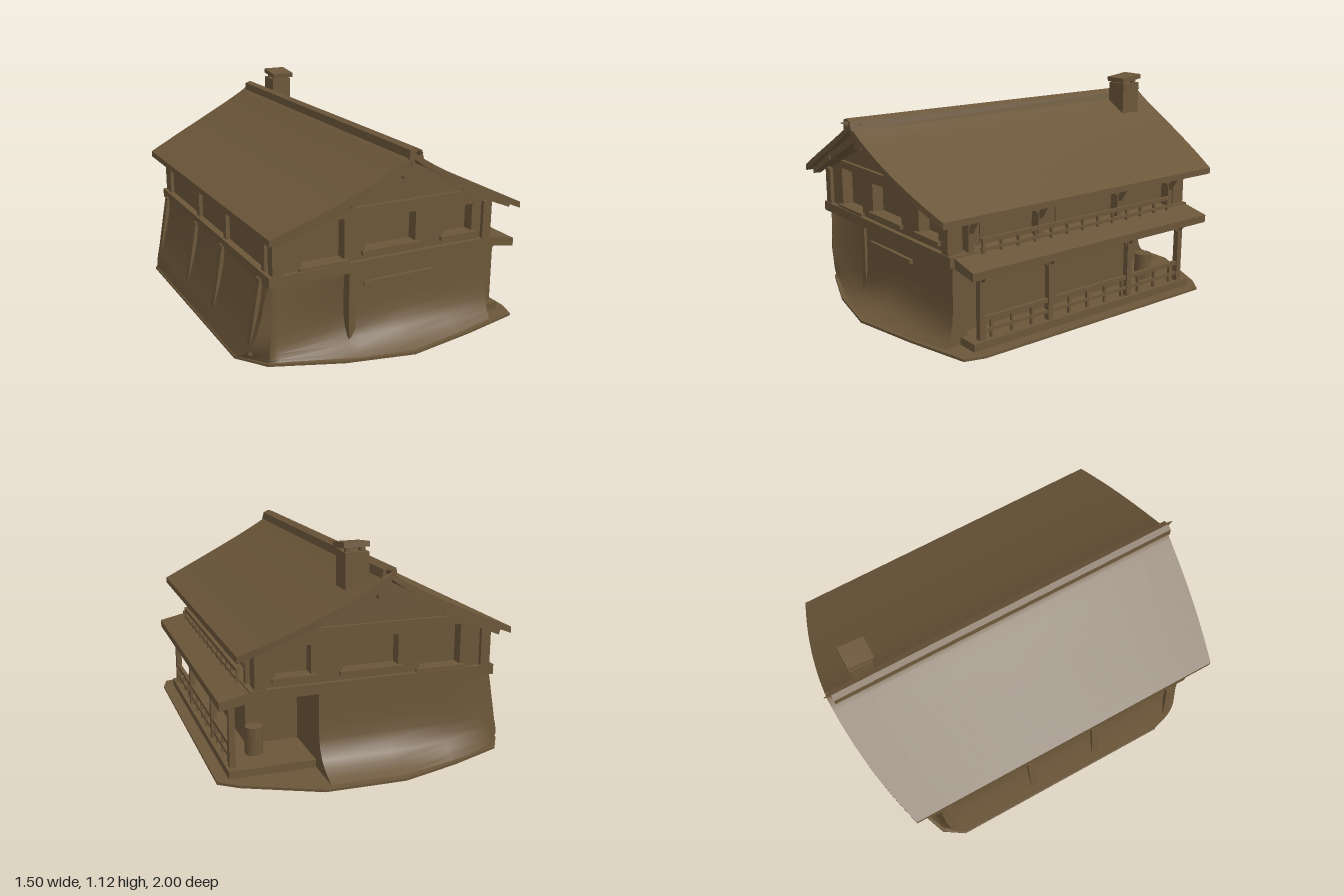
import * as THREE from 'three';
import { toCreasedNormals } from 'three/addons/utils/BufferGeometryUtils.js';

export function createModel() {
  const house = new THREE.Group();
  house.name = 'house';
  const wood = new THREE.MeshStandardMaterial({ color: 0x6b5639 });
  wood.name = 'brown wood';

  const add = (name, geometry) => {
    const mesh = new THREE.Mesh(geometry, wood);
    mesh.name = name;
    house.add(mesh);
    return mesh;
  };
  // box given by its min and max corners
  const box = (name, x0, x1, y0, y1, z0, z1) => {
    const m = add(name, new THREE.BoxGeometry(x1 - x0, y1 - y0, z1 - z0));
    m.position.set((x0 + x1) / 2, (y0 + y1) / 2, (z0 + z1) / 2);
    return m;
  };
  // square beam between two points
  const beam = (name, a, b, w) => {
    const p = new THREE.Vector3(...a), q = new THREE.Vector3(...b);
    const m = add(name, new THREE.BoxGeometry(w, w, p.distanceTo(q)));
    m.position.copy(p).add(q).multiplyScalar(0.5);
    m.lookAt(q);
    return m;
  };
  const shapeOf = (pts) => new THREE.Shape(pts.map((p) => new THREE.Vector2(...p)));
  const extrude = (shape, depth) => new THREE.ExtrudeGeometry(shape, { depth, bevelEnabled: false });

  // ground plate with bowed ends
  const outline = [[-0.75, 0.6], [-0.64, 0.75], [-0.3, 0.88], [0.04, 0.95], [0.4, 0.88], [0.72, 0.8], [0.75, 0.7],
    [0.75, -0.73], [0.66, -0.8], [0.3, -0.97], [-0.1, -0.98], [-0.4, -0.89], [-0.68, -0.78], [-0.75, -0.67]];
  const ground = extrude(shapeOf(outline.map(([x, z]) => [x, -z])), 0.012);
  ground.rotateX(-Math.PI / 2);
  add('groundPlate', ground);

  // lower storey: rings flaring to the ground, with a recessed front bay and porch wall,
  // and an open notch at the rear porch corner
  const foot = [[-0.745, 0.6], [-0.635, 0.74], [-0.58, 0.76], [-0.24, 0.88], [-0.2, 0.89], [0.04, 0.935], [0.35, 0.87], [0.58, 0.81],
    [0.58, 0.68], [0.53, 0.68], [0.53, -0.42], [0.26, -0.42], [0.26, -0.94], [-0.1, -0.95], [-0.4, -0.87], [-0.66, -0.77], [-0.745, -0.66]];
  const top = [[-0.64, 0.74], [-0.62, 0.76], [-0.58, 0.72], [-0.24, 0.72], [-0.2, 0.77], [0.04, 0.76], [0.35, 0.76], [0.58, 0.76],
    [0.58, 0.68], [0.53, 0.68], [0.53, -0.42], [0.26, -0.42], [0.26, -0.76], [-0.1, -0.76], [-0.4, -0.76], [-0.62, -0.76], [-0.64, -0.74]];
  const levels = [0.01, 0.025, 0.05, 0.08, 0.12, 0.17, 0.24, 0.33, 0.42];
  const n = foot.length, pos = [], idx = [];
  levels.forEach((y, j) => {
    const t = 1 - (y - 0.01) / 0.41;
    for (let i = 0; i < n; i++) {
      pos.push(THREE.MathUtils.lerp(top[i][0], foot[i][0], t ** 1.6), y, THREE.MathUtils.lerp(top[i][1], foot[i][1], t ** 7));
      if (j === 0) continue;
      const k = (i + 1) % n, a = (j - 1) * n + i, b = (j - 1) * n + k, c = j * n + k, d = j * n + i;
      idx.push(a, b, c, a, c, d);
    }
  });
  const lower = new THREE.BufferGeometry();
  lower.setAttribute('position', new THREE.Float32BufferAttribute(pos, 3));
  lower.setIndex(idx);
  add('lowerWalls', toCreasedNormals(lower, 0.9));

  // upper storey: solid core set back behind the balcony, and a pierced gable wall at each end
  const gableTo = (x) => [[-0.61, 0.42], [x, 0.42], [x, 0.66], [0.3, 0.79], [0, 0.95], [-0.3, 0.79], [-0.61, 0.65]];
  const core = extrude(shapeOf(gableTo(0.54)), 1.4);
  core.translate(0, 0, -0.7);
  add('upperCore', core);
  const windows = [[-0.47, -0.25, 0.47, 0.67], [-0.14, 0.14, 0.5, 0.65], [0.3, 0.47, 0.5, 0.64]];
  for (const s of [1, -1]) {
    const wall = shapeOf(gableTo(0.575));
    for (const [x0, x1, y0, y1] of windows) {
      wall.holes.push(new THREE.Path([[x0, y0], [x0, y1], [x1, y1], [x1, y0]].map((p) => new THREE.Vector2(...p))));
      box('windowSill', x0 - 0.02, x1 + 0.02, y0 - 0.02, y0, s * 0.765 - 0.015, s * 0.765 + 0.015);
    }
    const g = extrude(wall, 0.06);
    g.translate(0, 0, s > 0 ? 0.7 : -0.76);
    add('gableWall', g);
    box('gableBeam', -0.44, 0.42, 0.685, 0.72, s * 0.76 - 0.02, s * 0.76 + 0.02);
    box('kingPost', -0.03, 0.03, 0.87, 0.98, s * 0.83 - 0.08, s * 0.83 + 0.08);
    for (const x of [-0.6, 0.55]) box('upperCornerPost', x - 0.025, x + 0.025, 0.42, 0.65, s * 0.755 - 0.025, s * 0.755 + 0.025);
    // curved bargeboards under the roof edge
    for (const m of [1, -1]) {
      beam('bargeboard', [0, 0.93, s * 0.9], [m * 0.3, 0.785, s * 0.89], 0.04);
      beam('bargeboard', [m * 0.3, 0.785, s * 0.89], [m * 0.63, 0.645, s * 0.83], 0.04);
    }
  }
  // front framing of the ground floor
  box('lowerPost', -0.235, -0.2, 0.06, 0.42, 0.73, 0.785);
  box('doorLintel', -0.15, 0.24, 0.325, 0.345, 0.75, 0.78);

  // floor band between the storeys
  box('floorBand', -0.645, 0.6, 0.405, 0.455, -0.785, 0.785);

  // left-hand framing on the closed long side
  for (const z of [-0.7, -0.2, 0.2, 0.68]) {
    beam('wallPost', [-0.7, 0.05, z], [-0.635, 0.42, z], 0.04);
    box('upperPost', -0.63, -0.59, 0.44, 0.65, z - 0.02, z + 0.02);
  }
  box('wallPlate', -0.63, -0.58, 0.61, 0.645, -0.76, 0.76);

  // roof: one slab bent over the ridge, shorter at the eaves
  const roof = new THREE.BoxGeometry(2, 1, 2, 24, 1, 10);
  const p = roof.attributes.position;
  for (let i = 0; i < p.count; i++) {
    const x = p.getX(i), u = Math.abs(x), z = p.getZ(i);
    const y = 1.0 - 0.34 * u ** 0.86 + (p.getY(i) < 0 ? -0.032 : 0) - x * 0.008;
    p.setXYZ(i, x * 0.678, y, z * ((z > 0 ? 0.95 : 0.985) - (z > 0 ? 0.08 : 0.11) * u * u));
  }
  roof.computeVertexNormals();
  add('roof', roof);

  // ridge cap with pointed, overhanging ends
  const cap = extrude(shapeOf([[-0.035, 0.97], [0.04, 0.97], [0.03, 1.01], [0, 1.025], [-0.03, 1.015]]), 1.92);
  cap.translate(0, 0, -0.96);
  add('ridgeCap', cap);
  for (const s of [1, -1]) {
    const tip = add('ridgeTip', new THREE.ConeGeometry(0.03, 0.1, 4));
    tip.rotation.x = s * 1.4;
    tip.position.set(0.01, 1.0, s * 0.951);
  }

  // chimney with a tilted cap
  box('chimney', 0.045, 0.16, 0.85, 1.07, -0.83, -0.71);
  const chimneyCap = box('chimneyCap', 0.045, 0.17, 1.085, 1.11, -0.835, -0.695);
  chimneyCap.rotation.x = 0.12;
  for (const x of [0.07, 0.14]) for (const z of [-0.8, -0.73]) box('capLeg', x - 0.012, x + 0.012, 1.06, 1.1, z - 0.012, z + 0.012);

  // porch on the open long side, running round into the rear notch
  box('porchFloor', 0.52, 0.69, 0.005, 0.05, -0.72, 0.72);
  box('rearPorchFloor', 0.25, 0.53, 0.005, 0.05, -0.72, -0.41);
  const awning = extrude(shapeOf([[0.52, 0.41], [0.74, 0.375], [0.742, 0.415], [0.52, 0.465]]), 1.54);
  awning.translate(0, 0, -0.78);
  add('porchRoof', awning);
  for (const z of [0.66, 0.25, -0.28, -0.66]) {
    box('porchPost', 0.645, 0.675, 0.04, 0.4, z - 0.016, z + 0.016);
    box('upperSidePost', 0.54, 0.59, 0.44, 0.65, z - 0.016, z + 0.016);
    beam('eaveBrace', [0.585, 0.55, z], [0.64, 0.635, z], 0.02);
    beam('roofBrace', [0.66, 0.33, z], [0.71, 0.39, z], 0.018);
    for (const s of [1, -1]) {
      if (Math.abs(z + s * 0.07) > 0.7) continue;
      beam('postBrace', [0.66, 0.32, z], [0.66, 0.39, z + s * 0.07], 0.018);
      beam('eaveBrace', [0.58, 0.56, z], [0.58, 0.64, z + s * 0.07], 0.018);
    }
  }
  box('porchRail', 0.65, 0.67, 0.14, 0.16, -0.66, 0.66);
  box('porchLowerRail', 0.65, 0.67, 0.085, 0.1, -0.66, 0.66);
  for (let i = 0; i <= 10; i++) box('porchBaluster', 0.653, 0.667, 0.04, 0.15, -0.607 + i * 0.12, -0.593 + i * 0.12);

  // balcony railing above the porch roof
  box('balconyRail', 0.605, 0.622, 0.5, 0.518, -0.62, 0.62);
  box('balconyLowerRail', 0.605, 0.622, 0.46, 0.472, -0.62, 0.62);
  for (let i = 0; i <= 12; i++) box('balconyBaluster', 0.607, 0.62, 0.43, 0.51, -0.62 + i * 0.102, -0.608 + i * 0.102);

  // doors and shutters as thin panels on the porch side
  for (const z of [-0.46, 0, 0.46]) {
    if (z > -0.4) box('sidePanel', 0.528, 0.537, 0.06, 0.36, z - 0.13, z + 0.13);
    box('sideShutter', 0.538, 0.547, 0.48, 0.61, z - 0.12, z + 0.12);
  }

  // barrel on the rear porch
  const barrel = add('barrel', new THREE.CylinderGeometry(0.045, 0.045, 0.14, 10));
  barrel.position.set(0.52, 0.12, -0.54);
  return house;
}
